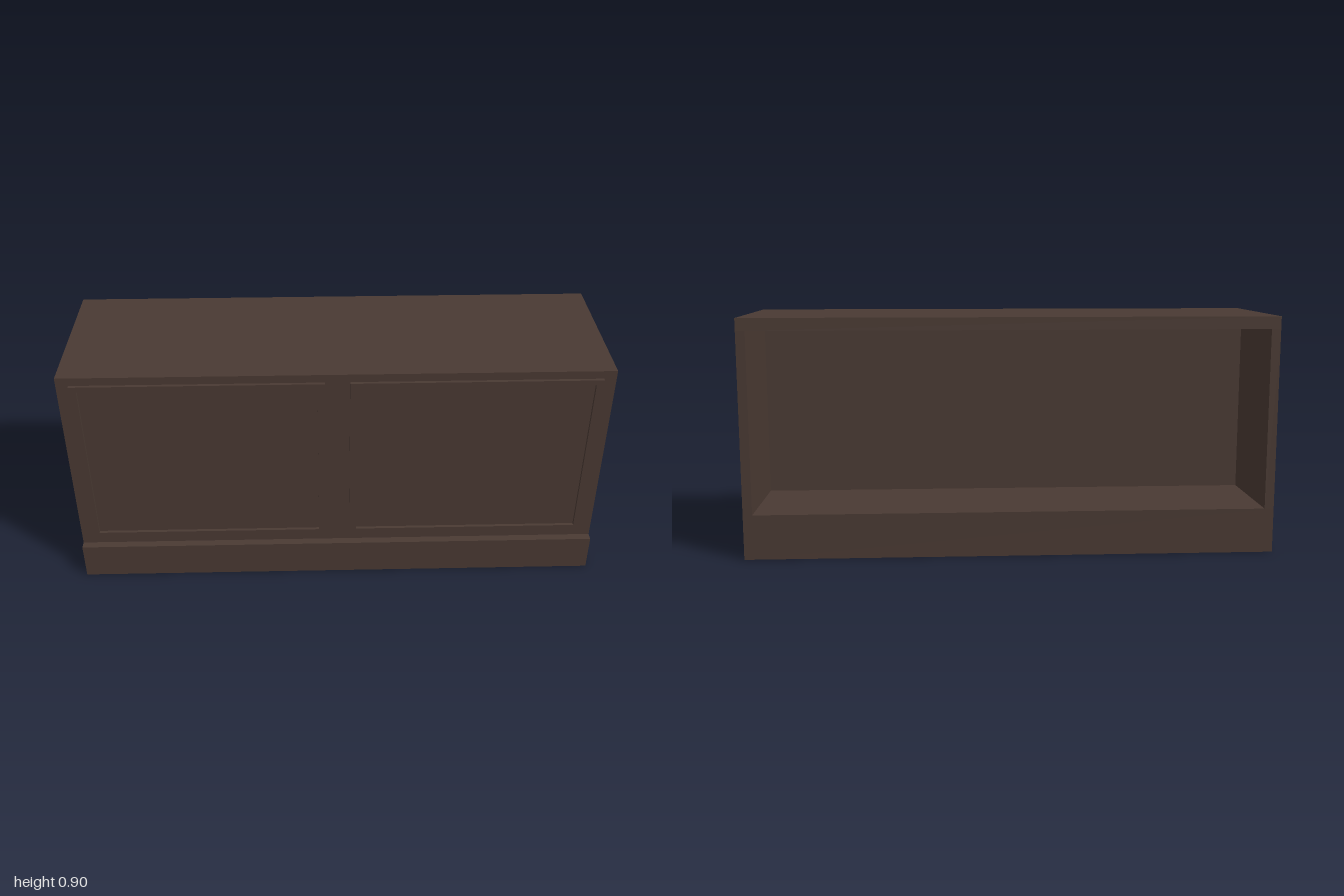
import * as THREE from 'three';

const BACK = -0.315, FRONT = 0.285, TOP = 0.9;
const FLOOR = 0.17, WALL = 0.035, CEILING = 0.853, RECESS = 0.095;

export function createModel() {
  const model = new THREE.Group();
  model.name = 'cabinet';
  const wood = new THREE.MeshStandardMaterial({ color: 0x4a3a33 });
  wood.name = 'dark wood';

  // Box given by its lower and upper corners
  function box(name, [x0, y0, z0], [x1, y1, z1], parent = model) {
    const mesh = new THREE.Mesh(new THREE.BoxGeometry(x1 - x0, y1 - y0, z1 - z0), wood);
    mesh.position.set((x0 + x1) / 2, (y0 + y1) / 2, (z0 + z1) / 2);
    mesh.name = name;
    parent.add(mesh);
  }

  // Carcass, open at the back
  box('base', [-1, 0, BACK], [1, FLOOR, FRONT]);
  box('topBoard', [-1, CEILING, BACK], [1, TOP, FRONT]);
  box('leftSide', [1 - WALL, FLOOR, BACK], [1, CEILING, FRONT]);
  box('rightSide', [-1, FLOOR, BACK], [-1 + WALL, CEILING, FRONT]);
  box('frontBoard', [-1 + WALL, FLOOR, RECESS], [1 - WALL, CEILING, FRONT]);

  // Plinth board along the front foot
  box('plinth', [-1, 0, FRONT], [1, 0.142, 0.315]);

  // Raised moulding frames around the two front panels
  const rect = (path, x0, y0, x1, y1) =>
    path.moveTo(x0, y0).lineTo(x1, y0).lineTo(x1, y1).lineTo(x0, y1).closePath();
  const outline = new THREE.Shape();
  rect(outline, -0.455, 0.174, 0.455, 0.869);
  const hole = new THREE.Path();
  rect(hole, -0.428, 0.2, 0.428, 0.849);
  outline.holes.push(hole);
  const frame = new THREE.ExtrudeGeometry(outline, { depth: 0.012, bevelEnabled: false });
  for (const [name, x] of [['leftPanelFrame', 0.5], ['rightPanelFrame', -0.5]]) {
    const mesh = new THREE.Mesh(frame, wood);
    mesh.name = name;
    mesh.position.set(x, 0, FRONT);
    model.add(mesh);
  }
  return model;
}
